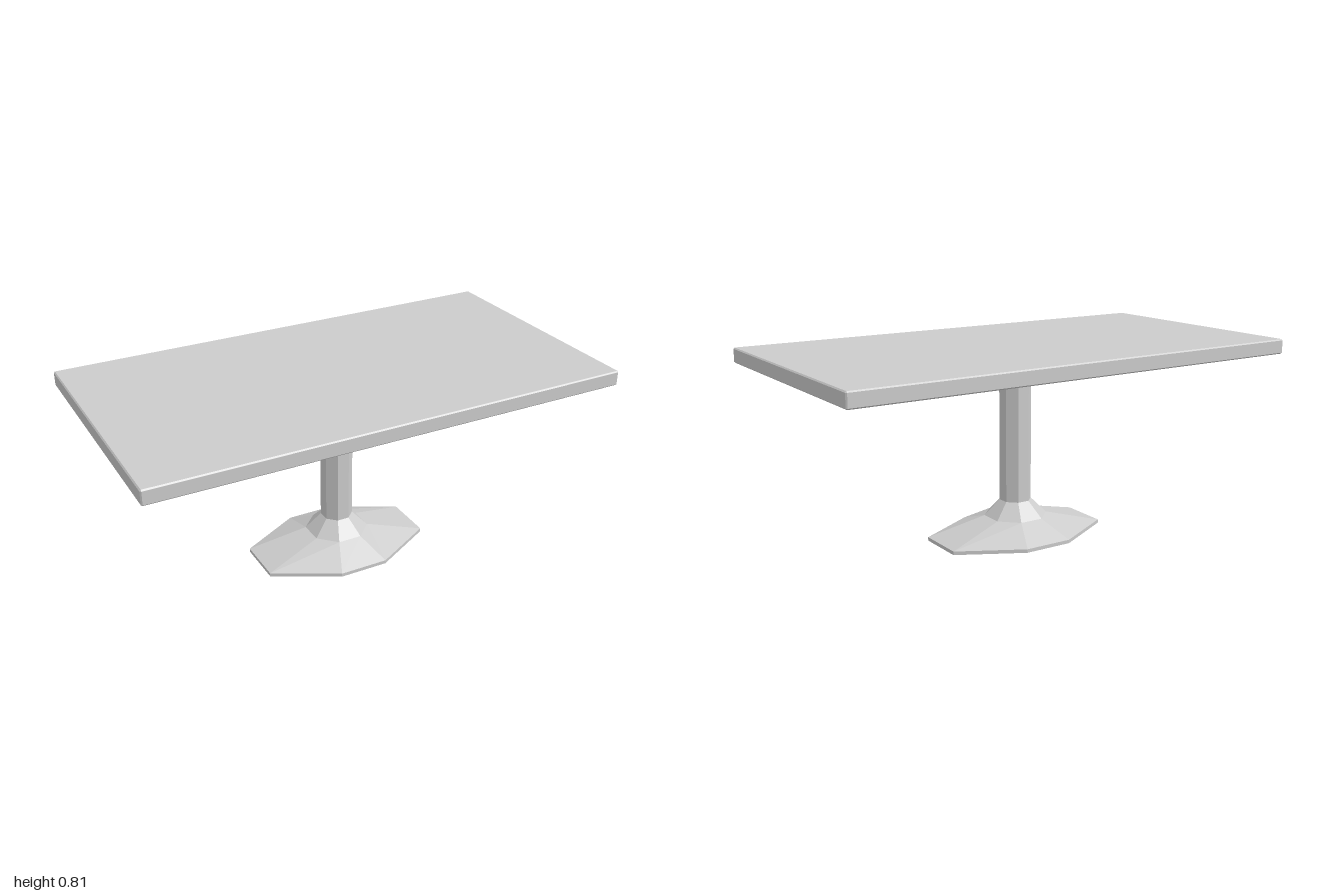
import * as THREE from 'three';

// Eight-sided ring: hx, hz are the half extents; ix, iz the half lengths of the flat sides
function ring(y, hx, hz, ix, iz) {
  return [
    [hx, -iz], [hx, iz], [ix, hz], [-ix, hz],
    [-hx, iz], [-hx, -iz], [-ix, -hz], [ix, -hz],
  ].map(([x, z]) => [x, y, z]);
}

// Regular octagon with flat sides facing the axes
function octagon(y, r) {
  const s = r * Math.tan(Math.PI / 8);
  return ring(y, r, r, s, s);
}

// Skin a stack of rings from bottom to top, with optional end caps
function loft(name, rings, capBottom = false, capTop = false) {
  const n = 8;
  const index = [];
  for (let k = 0; k < rings.length - 1; k++) {
    for (let i = 0; i < n; i++) {
      const a = k * n + i, b = k * n + (i + 1) % n;
      index.push(a, a + n, b, a + n, b + n, b);
    }
  }
  const top = (rings.length - 1) * n;
  for (let i = 1; i < n - 1; i++) {
    if (capBottom) index.push(0, i, i + 1);
    if (capTop) index.push(top, top + i + 1, top + i);
  }
  const indexed = new THREE.BufferGeometry();
  indexed.setAttribute('position', new THREE.Float32BufferAttribute(rings.flat(2), 3));
  indexed.setIndex(index);
  const geometry = indexed.toNonIndexed();
  geometry.computeVertexNormals();
  const mesh = new THREE.Mesh(geometry, new THREE.MeshStandardMaterial({ color: 0xcccccc, flatShading: true }));
  mesh.name = name;
  return mesh;
}

export function createModel() {
  const table = new THREE.Group();
  table.name = 'pedestalTable';

  // Foot: stretched along x at the floor, narrowing to a regular octagon
  table.add(loft('foot', [
    ring(0, 0.367, 0.247, 0.104, 0.104),
    ring(0.015, 0.367, 0.247, 0.104, 0.104),
    octagon(0.082, 0.123),
    octagon(0.149, 0.062),
  ], true));

  // Column
  table.add(loft('column', [octagon(0.149, 0.062), octagon(0.668, 0.062)]));

  // Flared support under the top
  table.add(loft('topSupport', [
    octagon(0.668, 0.062),
    octagon(0.736, 0.246),
    octagon(0.751, 0.246),
  ]));

  // Table top with small chamfers on every edge
  const hx = 1, hz = 0.532, c = 0.005;
  const inner = (y) => ring(y, hx - c, hz - c, hx - c - 0.001, hz - c - 0.001);
  const outer = (y) => ring(y, hx, hz, hx - c, hz - c);
  table.add(loft('tableTop', [
    inner(0.751), outer(0.751 + c), outer(0.813 - c), inner(0.813),
  ], true, true));

  return table;
}
